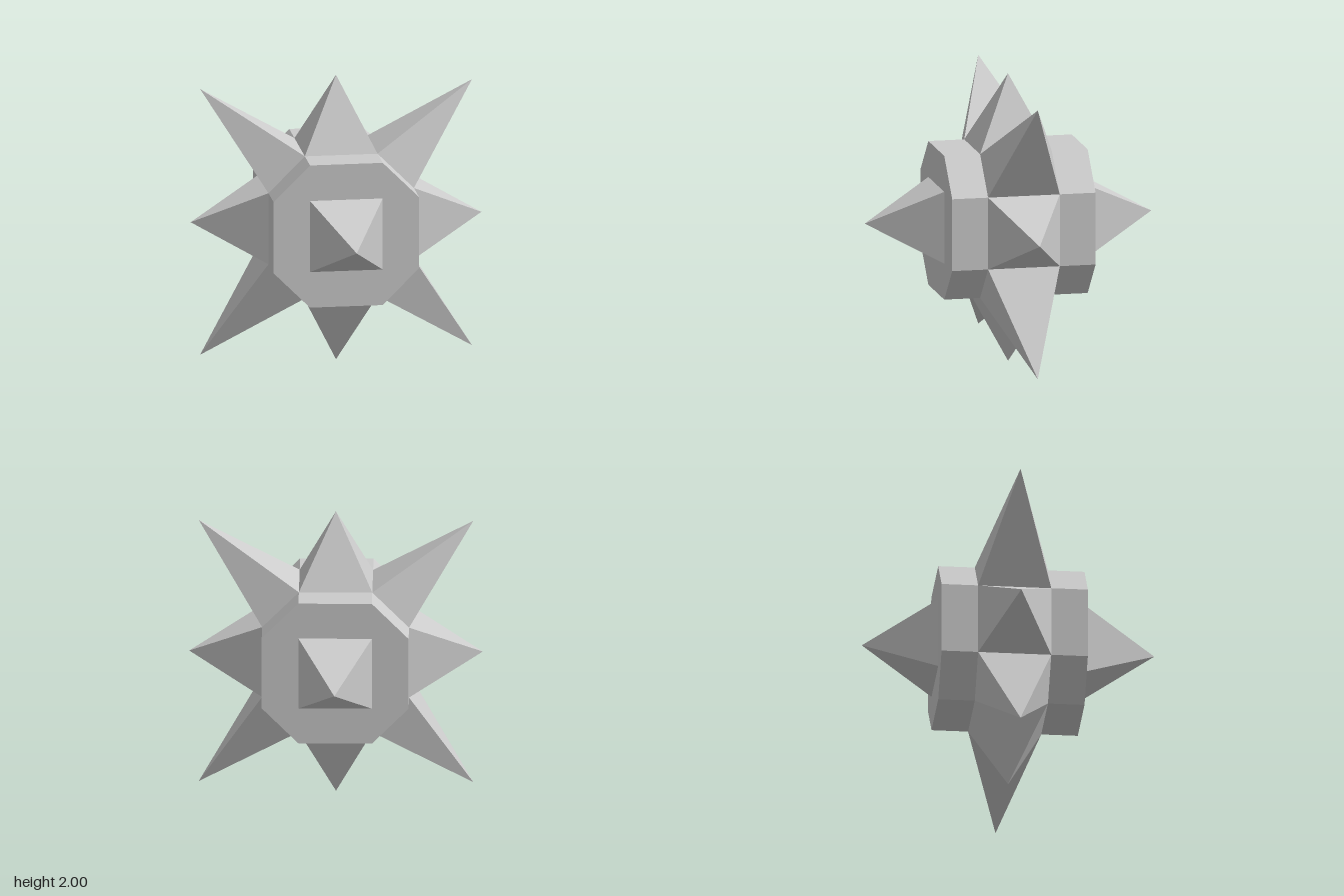
import * as THREE from 'three';

const material = new THREE.MeshStandardMaterial({ color: 0xcccccc, flatShading: true });

// Four-sided pyramid pointing up +y from the origin, base width x depth, open where it meets the body
function spikeGeometry(width, depth, height) {
  const geometry = new THREE.ConeGeometry(Math.SQRT1_2, 1, 4, 1, true, Math.PI / 4)
    .translate(0, 0.5, 0)
    .scale(width, height, depth)
    .toNonIndexed();
  geometry.computeVertexNormals();
  return geometry;
}

export function createModel() {
  const model = new THREE.Group();
  model.name = 'spikedStar';
  const centre = new THREE.Group();
  centre.name = 'star';
  centre.position.y = 1;
  model.add(centre);

  const add = (name, geometry) => {
    const mesh = new THREE.Mesh(geometry, material);
    mesh.name = name;
    centre.add(mesh);
    return mesh;
  };

  // Body: cube with its four long edges bevelled into an octagonal prism
  const half = 0.5, inner = 0.25;
  const outline = new THREE.Shape([
    [half, -inner], [half, inner], [inner, half], [-inner, half],
    [-half, inner], [-half, -inner], [-inner, -half], [inner, -half],
  ].map(([x, y]) => new THREE.Vector2(x, y)));
  add('body', new THREE.ExtrudeGeometry(outline, { depth: 2 * half, bevelEnabled: false })
    .translate(0, 0, -half));

  // Ring of eight spikes: short ones on the square sides, long ones on the bevels
  const short = spikeGeometry(0.5, 0.5, 0.5);
  const bevelDistance = (half + inner) * Math.SQRT1_2;
  const long = spikeGeometry(inner * Math.SQRT2, 0.5, 0.935 * Math.SQRT2 - bevelDistance);
  for (let i = 0; i < 8; i++) {
    const diagonal = i % 2 === 1;
    const angle = i * Math.PI / 4;
    const distance = diagonal ? bevelDistance : half;
    const spike = add(diagonal ? 'diagonalSpike' : 'sideSpike', diagonal ? long : short);
    spike.rotation.z = angle;
    spike.position.set(-Math.sin(angle) * distance, Math.cos(angle) * distance, 0);
  }

  // Front and back spikes
  for (const side of [1, -1]) {
    const spike = add(side > 0 ? 'frontSpike' : 'backSpike', short);
    spike.rotation.x = side * Math.PI / 2;
    spike.position.z = side * half;
  }

  return model;
}
